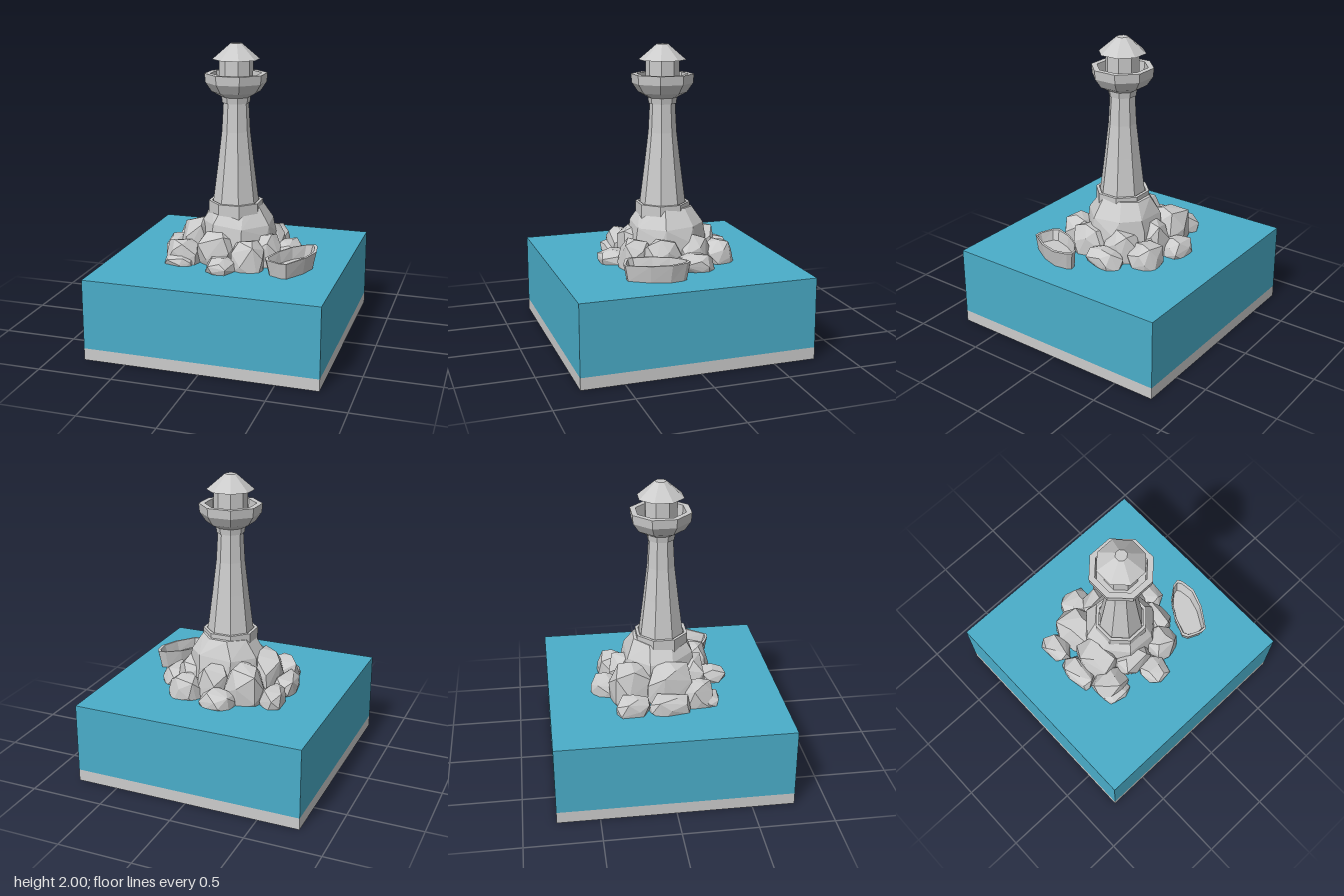
import * as THREE from 'three';
import { ConvexGeometry } from 'three/addons/geometries/ConvexGeometry.js';

const grey = new THREE.MeshStandardMaterial({ color: 0xcccccc, flatShading: true });
const blue = new THREE.MeshStandardMaterial({ color: 0x4aadc9, flatShading: true });
const WATER = 0.55;
const TOWER_X = 0.012;

function seeded(seed) {
  let s = seed;
  return () => (s = (s * 16807) % 2147483647) / 2147483647;
}

function part(name, geometry, material = grey) {
  const flat = geometry.index ? geometry.toNonIndexed() : geometry;
  flat.computeVertexNormals();
  const mesh = new THREE.Mesh(flat, material);
  mesh.name = name;
  return mesh;
}

// Eight-sided turned part; the profile gives [half width across flats, height]
function octagon(name, profile) {
  const k = 1 / Math.cos(Math.PI / 8);
  const points = profile.map(([r, y]) => new THREE.Vector2(r * k, y));
  const geometry = new THREE.LatheGeometry(points, 8).rotateY(Math.PI / 8);
  return part(name, geometry.translate(TOWER_X, 0, 0));
}

// Chipped boulder stretched to fill a footprint and reach a given top
function boulder(name, [x0, x1, z0, z1, top], seed) {
  const random = seeded(seed * 7919 + 13);
  const points = [];
  const count = 22;
  for (let i = 0; i < count; i++) {
    const y = 1 - (2 * (i + 0.5)) / count;
    const a = i * 2.39996 + random() * 0.7;
    const r = Math.sqrt(1 - y * y);
    const p = new THREE.Vector3(Math.cos(a) * r, y, Math.sin(a) * r);
    // Push the sphere a little towards a block
    const block = Math.max(Math.abs(p.x), Math.abs(p.y), Math.abs(p.z));
    points.push(p.multiplyScalar((0.92 + random() * 0.14) / Math.pow(block, 0.45)));
  }
  const box = new THREE.Box3().setFromPoints(points);
  const size = box.getSize(new THREE.Vector3());
  const bottom = WATER - (top - WATER) * 0.55;
  for (const p of points) {
    p.sub(box.min).divide(size);
    p.set(x0 + p.x * (x1 - x0), bottom + p.y * (top - bottom), z0 + p.z * (z1 - z0));
  }
  return part(name, new ConvexGeometry(points));
}

// Skin over stacked rings, closed at both ends
function loft(rings) {
  const n = rings[0].length;
  const index = [];
  for (let r = 0; r < rings.length - 1; r++) {
    for (let i = 0; i < n; i++) {
      const a = r * n + i, b = r * n + ((i + 1) % n);
      index.push(a, b, b + n, a, b + n, a + n);
    }
  }
  const last = (rings.length - 1) * n;
  for (let i = 1; i < n - 1; i++) {
    index.push(0, i + 1, i, last, last + i, last + i + 1);
  }
  const geometry = new THREE.BufferGeometry();
  geometry.setAttribute('position', new THREE.Float32BufferAttribute(rings.flat(2), 3));
  geometry.setIndex(index);
  return geometry;
}

function createBoat() {
  const outline = [
    [0.305, 0.32], [0.325, 0.36], [0.42, 0.40], [0.465, 0.40], [0.56, 0.26], [0.605, 0.13],
    [0.59, 0.03], [0.57, 0.0], [0.52, 0.01], [0.43, 0.08], [0.355, 0.19],
  ];
  const cx = 0.455, cz = 0.2;
  // The rim rises towards the bow, which points to the back
  const ring = (scale, y, rise) => outline.map(([x, z]) => [
    cx + (x - cx) * scale, y + rise * (0.4 - z) / 0.4, cz + (z - cz) * (scale * 0.6 + 0.4),
  ]);
  return part('boat', loft([
    ring(0.76, 0.5, 0), ring(0.84, WATER, 0), ring(1, 0.655, 0.02),
    ring(0.87, 0.655, 0.02), ring(0.72, 0.59, 0),
  ]));
}

function createIsland() {
  const island = new THREE.Group();
  island.name = 'island';

  // Central mound under the tower
  const random = seeded(41);
  const mound = [];
  for (const [y, r] of [[0.5, 0.27], [0.72, 0.245], [0.8, 0.235], [0.915, 0.165]]) {
    for (let i = 0; i < 8; i++) {
      const a = ((i + 0.5) / 8) * Math.PI * 2 + (random() - 0.5) * 0.2;
      const d = r * (1 + random() * 0.08);
      mound.push(new THREE.Vector3(
        0.02 + Math.cos(a) * d, y + (random() - 0.5) * 0.03, -0.025 + Math.sin(a) * d));
    }
  }
  island.add(part('mound', new ConvexGeometry(mound)));

  // Each boulder: x from, x to, z from, z to, top
  const boulders = [
    [-0.36, -0.12, -0.13, 0.18, 0.81], [-0.48, -0.32, -0.13, 0.14, 0.66],
    [-0.34, -0.06, -0.38, -0.09, 0.80], [-0.465, -0.31, -0.35, -0.12, 0.67],
    [-0.18, 0.05, -0.495, -0.30, 0.66], [0.07, 0.31, -0.43, -0.22, 0.70],
    [0.28, 0.445, -0.24, 0.03, 0.66], [0.13, 0.32, -0.27, -0.02, 0.76],
    [0.17, 0.36, -0.05, 0.22, 0.75], [0.06, 0.28, 0.12, 0.36, 0.74],
    [-0.09, 0.11, 0.24, 0.45, 0.64], [-0.20, 0.07, 0.08, 0.29, 0.77],
    [-0.41, -0.17, 0.11, 0.31, 0.70], [-0.40, -0.20, 0.22, 0.355, 0.61],
    [-0.09, 0.12, -0.37, -0.16, 0.77],
  ];
  boulders.forEach((b, i) => island.add(boulder(`boulder${i + 1}`, b, i + 1)));
  return island;
}

function createTower() {
  const tower = new THREE.Group();
  tower.name = 'lighthouse';
  tower.add(
    octagon('plinth', [[0, 0.85], [0.17, 0.85], [0.17, 0.945], [0.15, 0.945], [0.15, 0.925], [0, 0.925]]),
    octagon('shaft', [[0.144, 0.90], [0.142, 0.945], [0.112, 1.2], [0.088, 1.42], [0.078, 1.62]]),
    octagon('gallery', [
      [0, 1.61], [0.085, 1.61], [0.09, 1.65], [0.15, 1.685], [0.188, 1.745], [0.193, 1.805],
      [0.157, 1.805], [0.15, 1.71], [0, 1.71],
    ]),
    octagon('lampRoom', [[0.104, 1.70], [0.104, 1.90]]),
    octagon('roof', [[0, 1.897], [0.146, 1.897], [0.035, 2.0], [0, 2.0]]),
  );
  return tower;
}

export function createModel() {
  const model = new THREE.Group();
  model.name = 'lighthouseIsland';

  // Square block of sea on a thin bed
  const side = 1.565;
  model.add(
    part('seaBed', new THREE.BoxGeometry(side, 0.08, side).translate(0, 0.04, 0)),
    part('sea', new THREE.BoxGeometry(side, WATER - 0.08, side).translate(0, (WATER + 0.08) / 2, 0), blue),
    createIsland(),
    createTower(),
    createBoat(),
  );
  return model;
}
